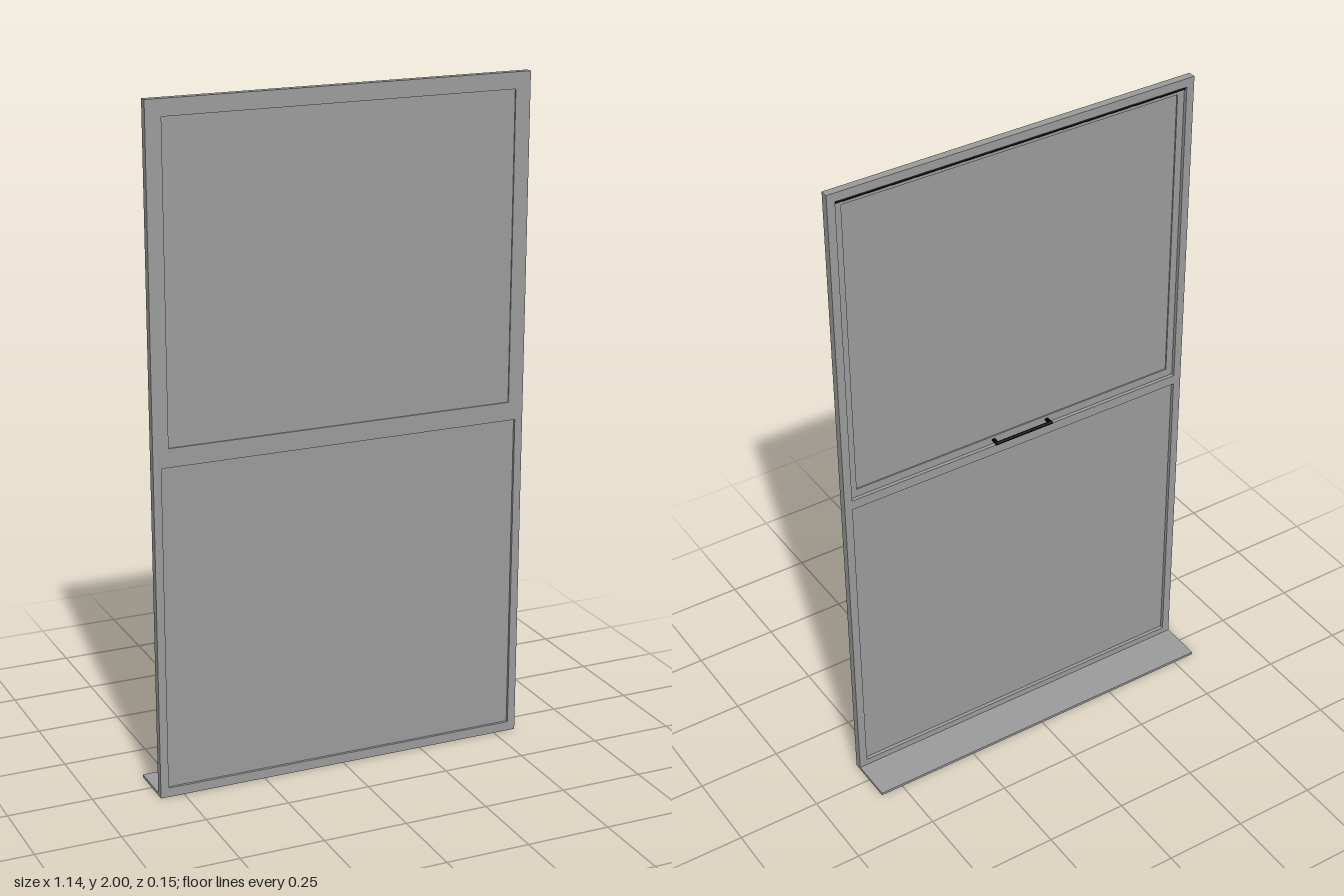
import * as THREE from 'three';

const grey = new THREE.MeshStandardMaterial({ color: 0x9b9b9b });
const black = new THREE.MeshStandardMaterial({ color: 0x000000 });

// Box given by its min and max on each axis
function box(name, [x0, x1], [y0, y1], [z0, z1], material = grey) {
  const mesh = new THREE.Mesh(new THREE.BoxGeometry(x1 - x0, y1 - y0, z1 - z0), material);
  mesh.position.set((x0 + x1) / 2, (y0 + y1) / 2, (z0 + z1) / 2);
  mesh.name = name;
  return mesh;
}

// Flat panel with rectangular openings, extruded from z0 to z1
function rectFrame(name, [x0, x1, y0, y1], openings, z0, z1) {
  const rect = (p, a, b, c, d) => p.moveTo(a, c).lineTo(b, c).lineTo(b, d).lineTo(a, d).closePath();
  const shape = rect(new THREE.Shape(), x0, x1, y0, y1);
  for (const o of openings) shape.holes.push(rect(new THREE.Path(), ...o));
  const geometry = new THREE.ExtrudeGeometry(shape, { depth: z1 - z0, bevelEnabled: false });
  geometry.translate(0, 0, z0);
  const mesh = new THREE.Mesh(geometry, grey);
  mesh.name = name;
  return mesh;
}

// Thin round bar along x
function rod(name, x0, x1, y, z, radius) {
  const mesh = new THREE.Mesh(new THREE.CylinderGeometry(radius, radius, x1 - x0, 16), black);
  mesh.rotation.z = Math.PI / 2;
  mesh.position.set((x0 + x1) / 2, y, z);
  mesh.name = name;
  return mesh;
}

export function createModel() {
  const group = new THREE.Group();
  group.name = 'window';
  const W = 0.57, inner = 0.546, back = 0.053, front = 0.076;

  // Outer frame with a middle rail
  const lower = [-inner, inner, 0.028, 0.987];
  const upper = [-inner, inner, 1.017, 1.974];
  group.add(rectFrame('frame', [-W, W, 0, 2], [lower, upper], back, front));

  // Upper sash, flush with the front and set in from the back
  const sashOpening = [-inner + 0.022, inner - 0.022, 1.042, 1.952];
  const sashBack = 0.064;
  group.add(rectFrame('upperSash', upper, [sashOpening], sashBack, front));

  // Glass panes
  group.add(box('lowerPane', [-inner, inner], [0.028, 0.987], [0.064, 0.068]));
  group.add(box('upperPane', sashOpening.slice(0, 2), sashOpening.slice(2), [0.068, 0.072]));

  // Sill reaching out behind the frame
  group.add(box('sill', [-W, W], [0, 0.008], [-0.076, back]));

  // Hinge rod along the top of the upper sash
  group.add(rod('hingeRod', -inner, inner, 1.967, 0.063, 0.005));

  // Pull handle on the bottom rail of the upper sash
  const handle = new THREE.Group();
  handle.name = 'handle';
  const y = 1.03, z = 0.043;
  handle.add(rod('handleBar', -0.107, 0.083, y, z, 0.005));
  for (const x of [-0.102, 0.078]) {
    handle.add(box('handlePost', [x - 0.005, x + 0.005], [y - 0.003, y + 0.003], [z, sashBack], black));
  }
  group.add(handle);

  return group;
}
